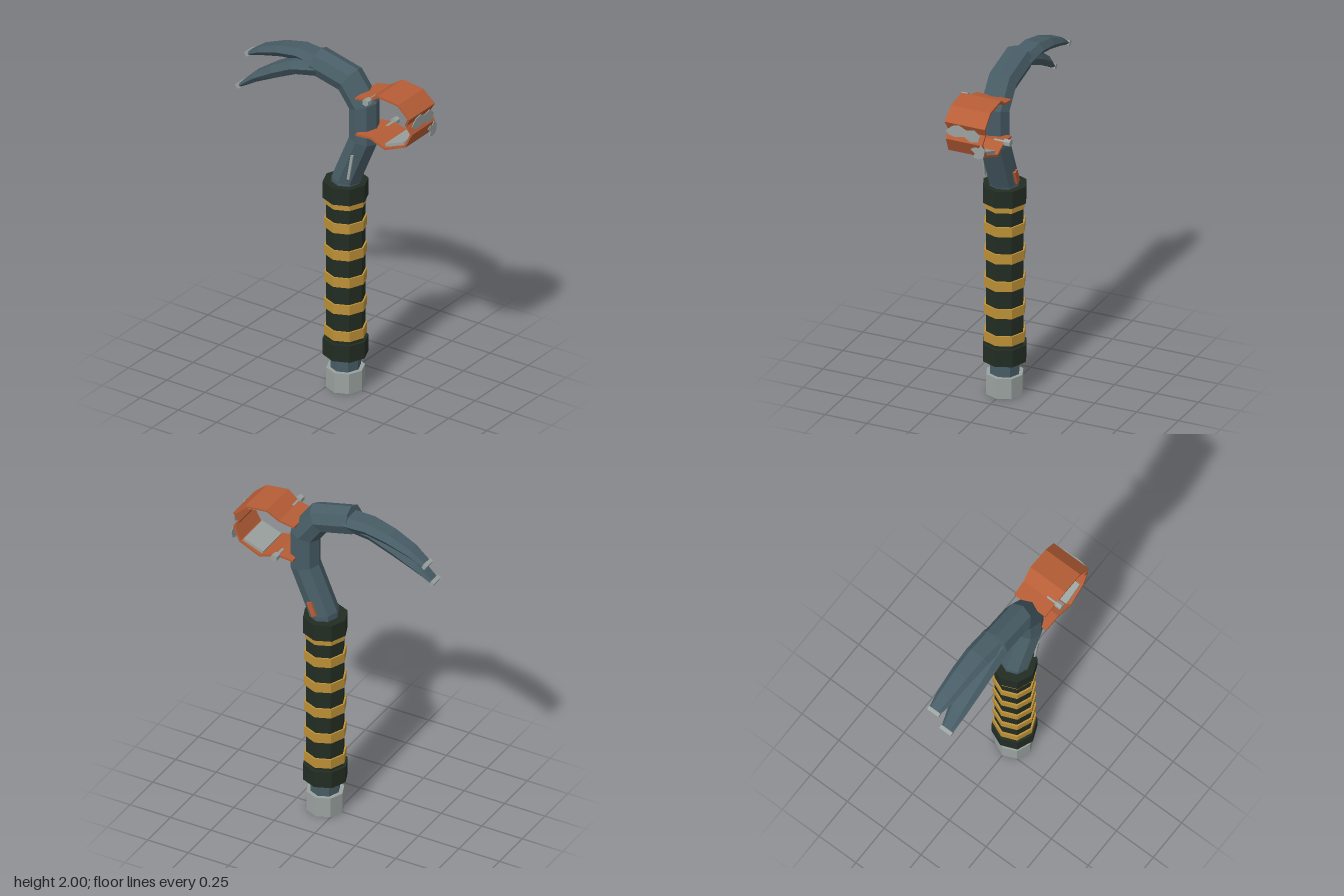
import * as THREE from 'three';

const mat = (name, color) => {
  const m = new THREE.MeshStandardMaterial({ color, side: THREE.DoubleSide });
  m.name = name;
  return m;
};

// Sweeps a cross-section of [normal, z] pairs along a path in the xy plane, with mitred joints and flat faces.
function sweep(path, sectionAt) {
  const pts = path.map(([x, y]) => new THREE.Vector2(x, y));
  const last = pts.length - 1;
  const rings = pts.map((p, i) => {
    const a = pts[Math.min(i + 1, last)].clone().sub(pts[Math.min(i, last - 1)]).normalize();
    const b = pts[Math.max(i, 1)].clone().sub(pts[Math.max(i - 1, 0)]).normalize();
    const d = a.clone().add(b).normalize();
    const k = Math.min(1 / d.dot(a), 1.8);
    return sectionAt(i).map(([n, z]) => [p.x - d.y * n * k, p.y + d.x * n * k, z]);
  });
  const pos = [];
  const tri = (...v) => v.forEach((p) => pos.push(...p));
  const count = rings[0].length;
  for (let r = 0; r < last; r++) {
    for (let i = 0; i < count; i++) {
      const j = (i + 1) % count;
      tri(rings[r][i], rings[r][j], rings[r + 1][j]);
      tri(rings[r][i], rings[r + 1][j], rings[r + 1][i]);
    }
  }
  for (let i = 1; i < count - 1; i++) {
    tri(rings[0][0], rings[0][i + 1], rings[0][i]);
    tri(rings[last][0], rings[last][i], rings[last][i + 1]);
  }
  const g = new THREE.BufferGeometry();
  g.setAttribute('position', new THREE.Float32BufferAttribute(pos, 3));
  g.computeVertexNormals();
  return g;
}

const strip = (t, w) => [[t, -w], [t, w], [-t, w], [-t, -w]];

function prism(r, h, sides = 8) {
  const g = new THREE.CylinderGeometry(r, r, h, sides).toNonIndexed();
  g.computeVertexNormals();
  return g;
}

export function createModel() {
  const steel = mat('blue steel', 0x485d66);
  const rubber = mat('dark grip', 0x222d23);
  const yellow = mat('yellow band', 0xbd9136);
  const copper = mat('copper strap', 0xb65d36);
  const bare = mat('bare metal', 0x9aa29f);
  const group = new THREE.Group();
  const add = (name, geometry, material, x = 0, y = 0, z = 0) => {
    const m = new THREE.Mesh(geometry, material);
    m.name = name;
    m.position.set(x, y, z);
    group.add(m);
    return m;
  };
  const axis = 0.075;

  // Pommel, grip, collars and bands
  add('pommel', prism(0.106, 0.12), bare, axis, 0.06);
  add('grip', prism(0.108, 0.9), rubber, axis, 0.725);
  add('lowerCollar', prism(0.125, 0.1), rubber, axis, 0.25);
  add('upperCollar', prism(0.125, 0.1), rubber, axis, 1.2);
  for (const y of [0.35, 0.513, 0.676, 0.84, 1.003]) add('gripBand', prism(0.118, 0.057), yellow, axis, y);
  add('topGripBand', prism(0.115, 0.035), yellow, axis, 1.133);

  // Bent octagonal shaft
  const octagon = Array.from({ length: 8 }, (_, i) => {
    const a = (i * Math.PI) / 4;
    return [0.082 * Math.cos(a), 0.085 * Math.sin(a)];
  });
  add('shaft', sweep([[0.075, 0.1], [0.083, 1.27], [0.197, 1.54], [0.197, 1.745], [0.105, 1.87], [-0.105, 1.922]],
    () => octagon), steel);

  // Two tapering claws: path, half thickness, and z limits mirrored by side
  const outer = [0.088, 0.096, 0.095, 0.09, 0.079];
  const inner = [-0.065, -0.05, -0.036, -0.02, 0.005];
  const addClaw = (name, path, thick, side) => {
    add(name, sweep(path, (i) => {
      const mid = (side * (outer[i] + inner[i])) / 2;
      const w = (outer[i] - inner[i]) / 2;
      const h = thick[i];
      return [[h, mid - 0.6 * w], [h, mid + 0.6 * w], [0, mid + w],
        [-h, mid + 0.6 * w], [-h, mid - 0.6 * w], [0, mid - w]];
    }), steel);
    const [x, y] = path[4];
    const tip = add(name + 'Tip', new THREE.BoxGeometry(0.022, 0.026, 0.076), bare, x - 0.003, y, side * 0.042);
    tip.rotation.z = 0.5;
  };
  addClaw('upperClaw', [[-0.07, 1.92], [-0.22, 1.933], [-0.35, 1.908], [-0.485, 1.862], [-0.575, 1.814]],
    [0.04, 0.036, 0.032, 0.024, 0.01], -1);
  addClaw('lowerClaw', [[-0.07, 1.905], [-0.22, 1.872], [-0.35, 1.808], [-0.475, 1.735], [-0.575, 1.656]],
    [0.045, 0.04, 0.036, 0.026, 0.01], 1);

  // Dented strap looping out from the shaft
  const loop = [[0.21, 1.825], [0.3, 1.842], [0.37, 1.888], [0.5, 1.872], [0.57, 1.81], [0.547, 1.765],
    [0.578, 1.715], [0.54, 1.635], [0.415, 1.586], [0.315, 1.618], [0.215, 1.608]];
  const width = [0.105, 0.108, 0.118, 0.117, 0.12, 0.112, 0.108, 0.112, 0.12, 0.112, 0.108];
  add('strap', sweep(loop, (i) => strip(0.006, width[i])), copper);

  // Plates lining the strap
  add('upperLining', sweep([[0.385, 1.874], [0.5, 1.86]], () => strip(0.008, 0.1)), bare);
  add('lowerLining', sweep([[0.405, 1.597], [0.525, 1.642]], () => strip(0.01, 0.1)), bare);

  // Ragged metal patches on the outer side, as [z, y] outlines
  const addPatch = (outline) => {
    const shape = new THREE.Shape(outline.map(([z, y]) => new THREE.Vector2(-z, y)));
    const g = new THREE.ExtrudeGeometry(shape, { depth: 0.004, bevelEnabled: false });
    add('raggedPatch', g, bare, 0.583).rotation.y = Math.PI / 2;
  };
  addPatch([[0.11, 1.765], [0.07, 1.8], [0.03, 1.81], [-0.01, 1.79], [-0.06, 1.8], [-0.095, 1.77],
    [-0.085, 1.735], [-0.04, 1.725], [0, 1.75], [0.05, 1.738], [0.09, 1.745]]);
  addPatch([[-0.04, 1.685], [-0.065, 1.7], [-0.085, 1.695], [-0.1, 1.718], [-0.125, 1.69], [-0.115, 1.645],
    [-0.085, 1.632], [-0.055, 1.64], [-0.065, 1.665]]);

  // Strap bolts
  for (const [x, y, z] of [[0.305, 1.845, 0.128], [0.31, 1.62, -0.13]]) {
    add('bolt', prism(0.021, 0.038, 6), bare, x, y, z).rotation.x = Math.PI / 2;
    add('boltShank', prism(0.01, 0.08, 6), bare, x, y, z - Math.sign(z) * 0.04).rotation.x = Math.PI / 2;
  }

  // Scratch on the front of the shaft and chip on the back
  const scratch = add('frontScratch', new THREE.BoxGeometry(0.016, 0.155, 0.009), bare, 0.163, 1.385, 0.083);
  scratch.rotation.z = -0.17;
  const chip = add('backChip', new THREE.BoxGeometry(0.03, 0.085, 0.02), copper, 0.11, 1.32, -0.084);
  chip.rotation.z = -0.38;
  return group;
}
